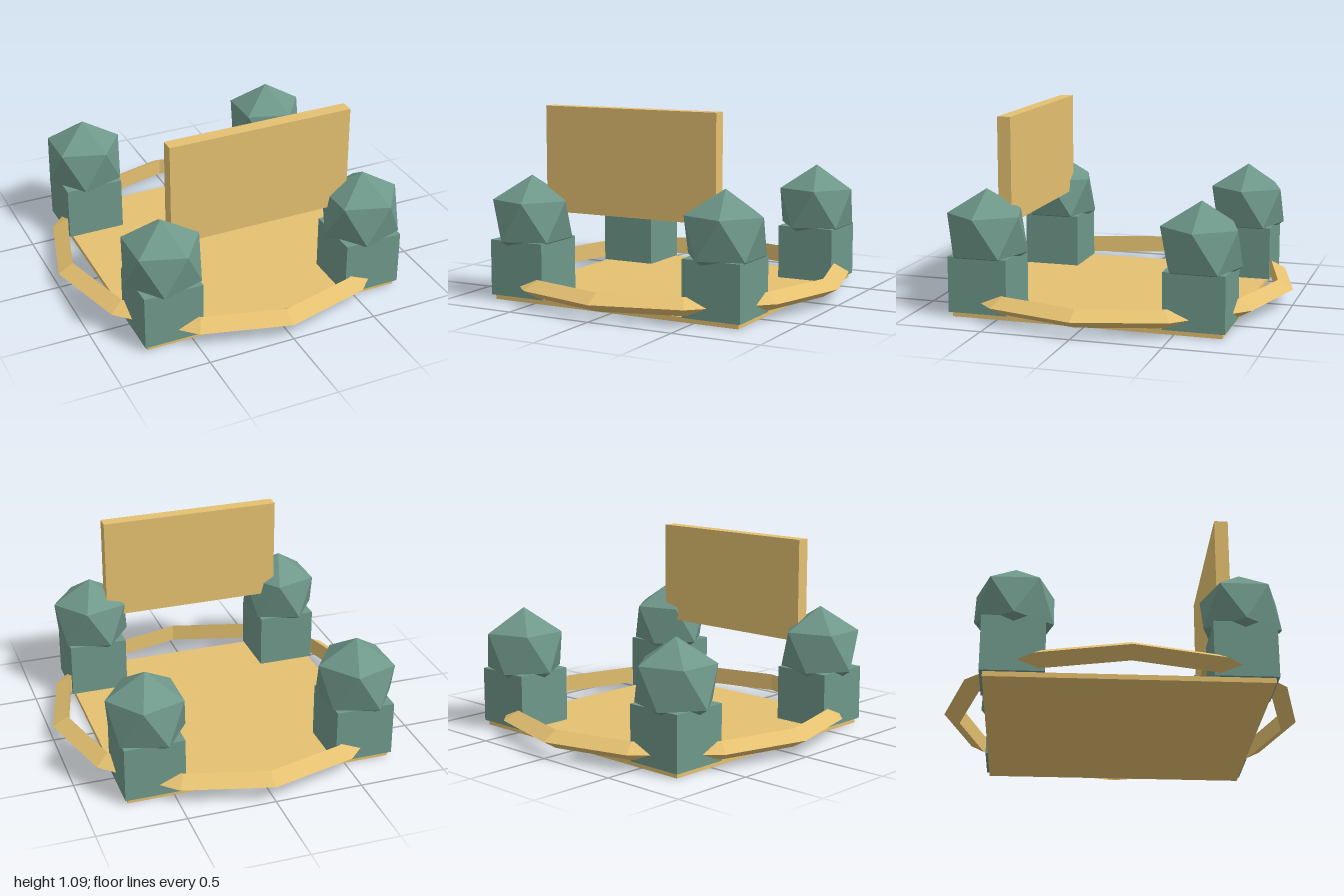
import * as THREE from 'three';

export function createModel() {
  const model = new THREE.Group();
  const sand = new THREE.MeshStandardMaterial({ color: 0xe4c070 });
  sand.name = 'sand';
  const green = new THREE.MeshStandardMaterial({ color: 0x6f988a });
  green.name = 'sageGreen';
  sand.flatShading = green.flatShading = true;

  const add = (name, geometry, material, x, y, z) => {
    const mesh = new THREE.Mesh(geometry, material);
    mesh.name = name;
    mesh.position.set(x, y, z);
    model.add(mesh);
  };

  // Floor slab
  add('floor', new THREE.BoxGeometry(1.524, 0.028, 1.524), sand, 0, 0.014, 0);

  // Twelve-sided rail of triangular section, running through the corner posts
  const rail = new THREE.TorusGeometry(0.941, 0.059, 3, 12).rotateX(Math.PI / 2);
  add('rail', rail, sand, 0, 0.0915, 0);

  // Raised front panel
  add('panel', new THREE.BoxGeometry(1.067, 0.595, 0.077), sand, 0, 0.793, 0.533);

  // Corner posts, each topped by an icosahedron standing on one vertex
  const post = new THREE.BoxGeometry(0.34, 0.314, 0.34);
  const crown = new THREE.IcosahedronGeometry(0.248, 0);
  crown.rotateZ(-Math.atan(2 / (1 + Math.sqrt(5))));
  for (const [sx, sideX] of [[-1, 'Right'], [1, 'Left']]) {
    for (const [sz, sideZ] of [[-1, 'back'], [1, 'front']]) {
      add(`${sideZ}${sideX}Post`, post, green, sx * 0.609, 0.185, sz * 0.609);
      add(`${sideZ}${sideX}Crown`, crown, green, sx * 0.609, 0.453, sz * 0.609);
    }
  }
  return model;
}
